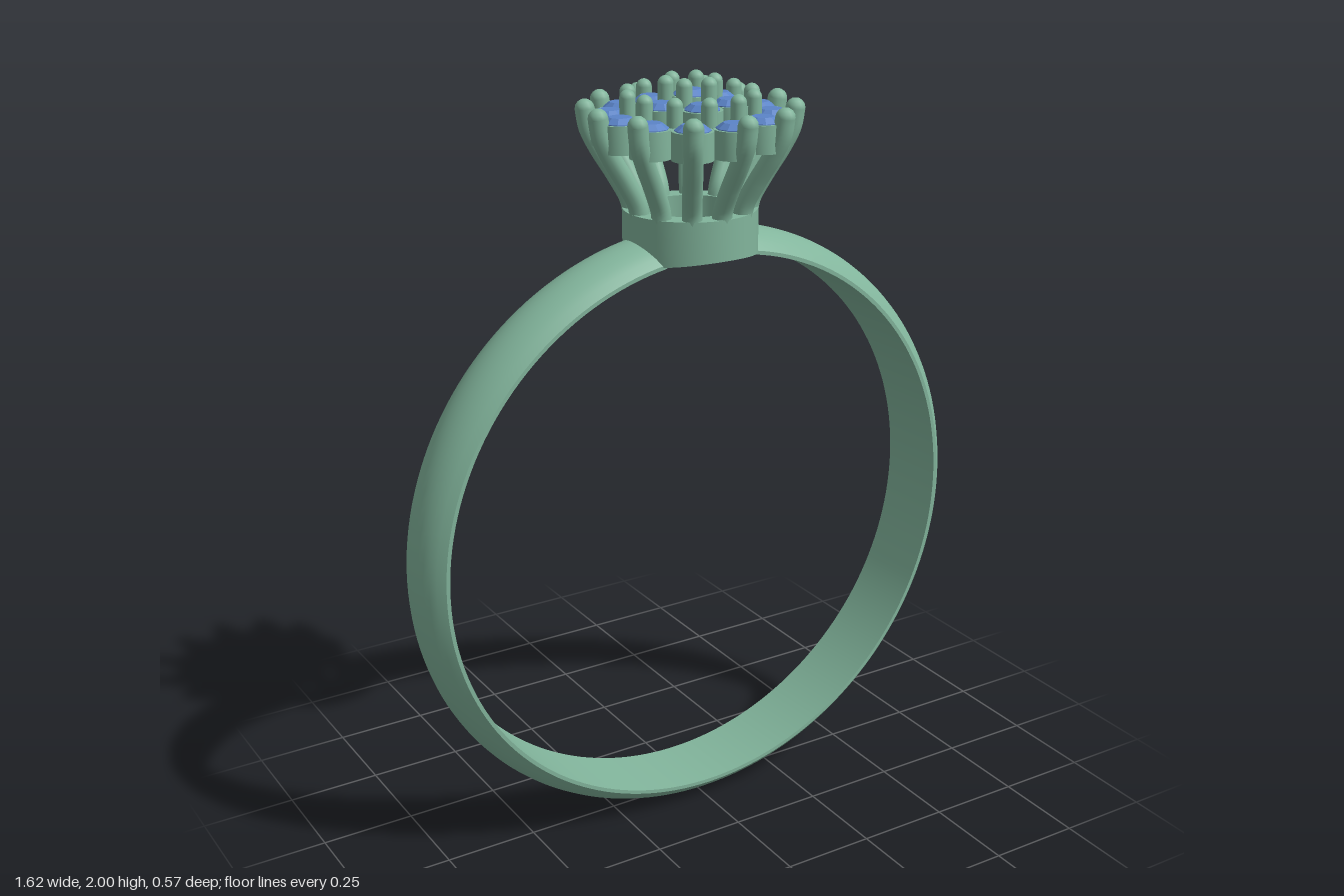
import * as THREE from 'three';
import { toCreasedNormals } from 'three/addons/utils/BufferGeometryUtils.js';

const CENTRE_Y = 0.81; // middle of the hoop
const INNER_R = 0.75;  // finger opening

const metal = new THREE.MeshStandardMaterial({ color: 0x82b59c });
const gem = new THREE.MeshStandardMaterial({ color: 0x5b84c8, flatShading: true });

// Closed [radius, height] outline turned about the y axis, with sharp edges kept.
function turned(outline, segments, start = 0, length = Math.PI * 2) {
  const points = [...outline, outline[0]].map(([r, y]) => new THREE.Vector2(r, y));
  return new THREE.LatheGeometry(points, segments, start, length);
}

function tubeOutline(outer, inner, y0, y1) {
  return [[outer, y0], [outer, y1], [inner, y1], [inner, y0]];
}

// Calls place(x, z, angle) for evenly spaced positions around the y axis.
function around(count, radius, offset, place) {
  for (let i = 0; i < count; i++) {
    const a = offset + (i / count) * Math.PI * 2;
    place(radius * Math.cos(a), radius * Math.sin(a), a);
  }
}

export function createModel() {
  const model = new THREE.Group();
  const add = (parent, name, geometry, material = metal) => {
    const mesh = new THREE.Mesh(geometry, material);
    mesh.name = name;
    parent.add(mesh);
    return mesh;
  };

  // Band: flat inside, domed outside, open where the collar sits
  const gap = Math.asin(0.13 / 0.76);
  const outline = [];
  for (let i = 0; i <= 12; i++) {
    const z = -0.1 + (0.2 * i) / 12;
    outline.push([0.685 + Math.sqrt(0.125 ** 2 - z * z), z]);
  }
  outline.push([INNER_R, 0.1], [INNER_R, -0.1]);
  const bandGeometry = turned(outline, 160, gap - Math.PI, 2 * (Math.PI - gap));
  bandGeometry.rotateX(Math.PI / 2);
  add(model, 'band', toCreasedNormals(bandGeometry, 0.5)).position.y = CENTRE_Y;

  // Collar: short tube whose lower rim follows the finger opening
  const collarGeometry = turned(tubeOutline(0.172, 0.118, 0, 1.67), 64);
  const p = collarGeometry.attributes.position;
  for (let i = 0; i < p.count; i++) {
    if (p.getY(i) < 1) p.setY(i, CENTRE_Y + Math.sqrt(INNER_R ** 2 - p.getX(i) ** 2) + 0.006);
  }
  add(model, 'collar', toCreasedNormals(collarGeometry, 0.6));

  // Flared claws with rounded tips
  const clawPath = new THREE.CatmullRomCurve3(
    [[0.145, 1.65], [0.153, 1.69], [0.185, 1.75], [0.228, 1.82], [0.252, 1.87], [0.26, 1.916]]
      .map(([x, y]) => new THREE.Vector3(x, y, 0)));
  const clawGeometry = new THREE.TubeGeometry(clawPath, 24, 0.025, 12);
  const tipGeometry = new THREE.SphereGeometry(0.025, 12, 8);
  around(12, 1, 0, (x, z, angle) => {
    const claw = new THREE.Group();
    claw.name = 'claw';
    claw.rotation.y = -angle;
    add(claw, 'clawShaft', clawGeometry);
    add(claw, 'clawTip', tipGeometry).position.set(0.26, 1.916, 0);
    model.add(claw);
  });

  // Stone settings: a ring-shaped cup holding a faceted stone
  const cupGeometry = toCreasedNormals(turned(tubeOutline(0.052, 0.041, -0.07, 0), 24), 0.6);
  const stoneProfile = [[0, -0.045], [0.045, -0.004], [0.045, 0.002], [0.028, 0.015], [0, 0.015]];
  const stoneGeometry = new THREE.LatheGeometry(
    stoneProfile.map(([r, y]) => new THREE.Vector2(r, y)), 10);
  const addSetting = (y) => (x, z, angle) => {
    const setting = new THREE.Group();
    setting.name = 'stoneSetting';
    setting.position.set(x, y, z);
    setting.rotation.y = -angle;
    add(setting, 'cup', cupGeometry);
    add(setting, 'stone', stoneGeometry, gem);
    model.add(setting);
  };
  const step = Math.PI / 12;
  around(12, 0.2, 0, addSetting(1.9));
  around(6, 0.1, -step, addSetting(1.93));
  around(1, 0, 0, addSetting(1.95));

  // Small round-topped pins between the stones
  const pinGeometry = new THREE.CapsuleGeometry(0.02, 0.08, 6, 12);
  const addPin = (top) => (x, z) => {
    add(model, 'pin', pinGeometry).position.set(x, top - 0.06, z);
  };
  around(12, 0.16, step, addPin(1.97));
  around(6, 0.063, step, addPin(2));

  return model;
}
